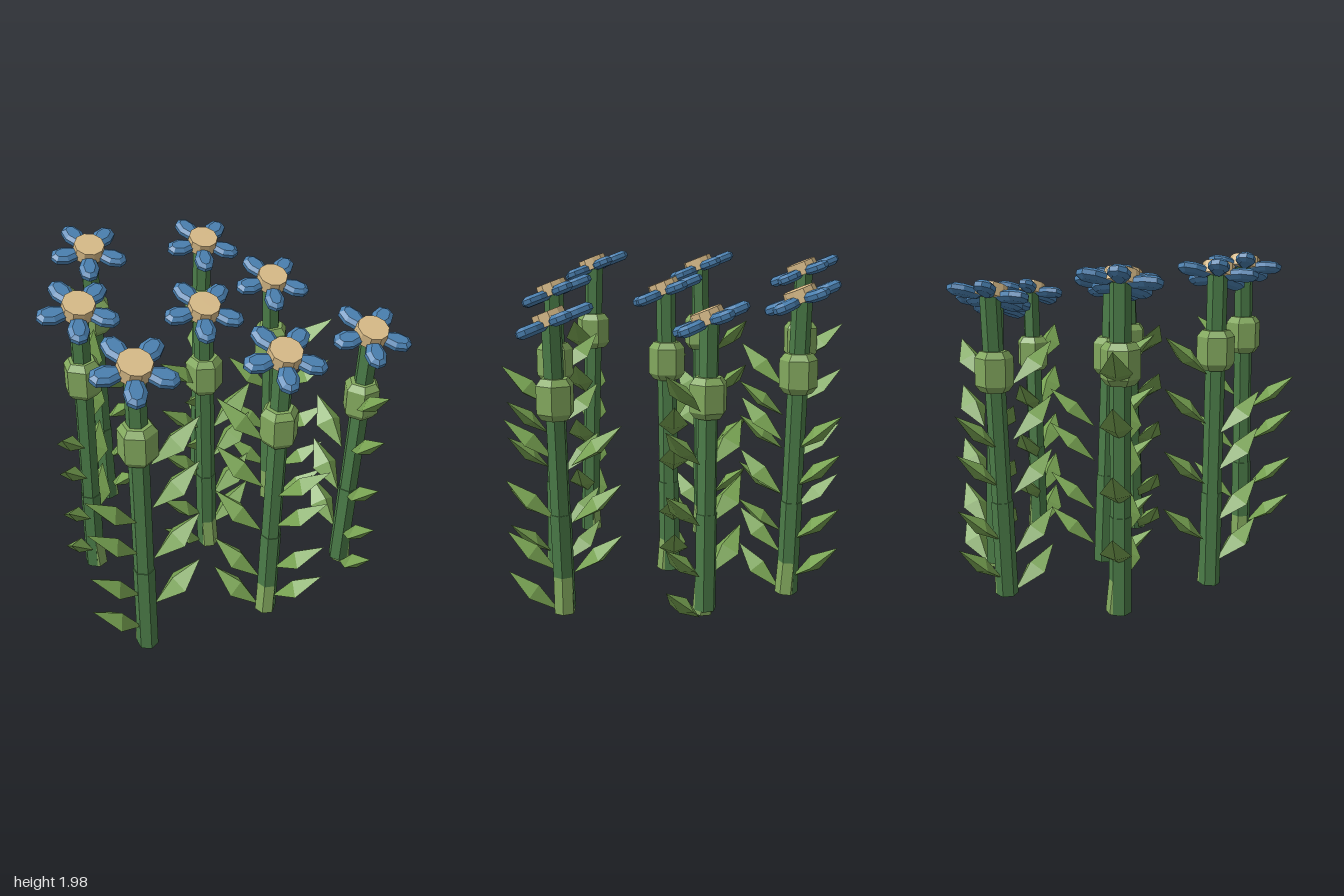
import * as THREE from 'three';

const mat = (color) => new THREE.MeshStandardMaterial({ color, flatShading: true });
const stemMat = mat(0x4b7c48), leafMat = mat(0x78a352), budMat = mat(0x83a95e);
const petalMat = mat(0x4a80b0), discMat = mat(0xd8bb88);

const V = (x, y, z) => new THREE.Vector3(x, y, z);

function addMesh(parent, name, geometry, material) {
  const mesh = new THREE.Mesh(geometry, material);
  mesh.name = name;
  parent.add(mesh);
  return mesh;
}

// Hexagonal rod between two points
function rod(parent, name, a, b, radius, yaw, material) {
  const dir = b.clone().sub(a);
  const geometry = new THREE.CylinderGeometry(radius, radius, dir.length(), 6);
  geometry.rotateY(yaw);
  const mesh = addMesh(parent, name, geometry, material);
  mesh.position.copy(a).add(b).multiplyScalar(0.5);
  mesh.quaternion.setFromUnitVectors(V(0, 1, 0), dir.normalize());
}

// Leaf: stretched octahedron with drooping sides, rising along +x, measured from its tip height
const leafGeo = new THREE.OctahedronGeometry(1).scale(0.185, 0.046, 0.088);
const leafPos = leafGeo.attributes.position;
for (let i = 0; i < leafPos.count; i++) {
  leafPos.setY(i, leafPos.getY(i) - 0.2 * Math.abs(leafPos.getZ(i)));
}
leafGeo.rotateZ(0.68).translate(0.187, -0.115, 0);

// Bulge on the stem: six-sided with chamfered top and bottom
const budGeo = new THREE.LatheGeometry(
  [[0, -0.115], [0.08, -0.115], [0.109, -0.078], [0.109, 0.078], [0.08, 0.115], [0, 0.115]]
    .map(([r, y]) => new THREE.Vector2(r, y)), 6);

// Petal: thick angular kite with a bevelled edge, lying along +x
const petalShape = new THREE.Shape(
  [[0.07, -0.012], [0.15, -0.036], [0.2, -0.024], [0.212, 0], [0.2, 0.024], [0.15, 0.036], [0.07, 0.012]]
    .map(([x, y]) => new THREE.Vector2(x, y)));
const petalGeo = new THREE.ExtrudeGeometry(petalShape, {
  depth: 0.026, bevelThickness: 0.018, bevelSize: 0.024, bevelSegments: 1,
}).translate(0, 0, -0.013).rotateX(-Math.PI / 2);

const discGeo = new THREE.CylinderGeometry(0.092, 0.1, 0.075, 10).translate(0, 0.024, 0);

// Flower head, tipped towards the front
function flowerHead() {
  const head = new THREE.Group();
  head.name = 'flowerHead';
  for (let i = 0; i < 5; i++) {
    addMesh(head, 'petal', petalGeo, petalMat).rotation.y = (0.2 + i * 0.4) * Math.PI;
  }
  addMesh(head, 'flowerCentre', discGeo, discMat);
  head.rotation.x = 0.38;
  return head;
}

// Heights per size: head, bulge, and leaf tips on both sides
const sizes = {
  tall: { head: 1.88, bud: 1.45, near: [1.55, 1.26, 0.9, 0.56], far: [1.19, 0.97, 0.66, 0.41] },
  middle: { head: 1.78, bud: 1.36, near: [1.5, 1.18, 0.86, 0.5, 0.27], far: [1.14, 0.92, 0.6, 0.37] },
  low: { head: 1.68, bud: 1.26, near: [1.43, 1.13, 0.78, 0.48, 0.24], far: [1.1, 0.77, 0.47] },
};

function flower(size, [bx, bz], [tx, tz], [cx, cz], [lx, lz], hand) {
  const s = sizes[size];
  const plant = new THREE.Group();
  plant.name = 'flower';
  const yaw = Math.atan2(-lz, lx);
  const base = V(bx, 0.035, bz), top = V(tx, s.head, tz);
  const at = (y) => base.clone().lerp(top, (y - base.y) / (top.y - base.y));

  // Stem in two pieces with a lighter sheath leaning out at the foot
  rod(plant, 'lowerStem', base, at(0.6), 0.063, yaw, stemMat);
  rod(plant, 'upperStem', at(0.55), top, 0.058, yaw, stemMat);
  const foot = base.clone().addScaledVector(V(-Math.sin(yaw), 0, -Math.cos(yaw)), 0.02 * hand);
  foot.y = size === 'low' ? 0.012 : 0.035;
  rod(plant, 'sheath', foot, at(0.24), 0.062, yaw, budMat);

  const bud = addMesh(plant, 'stemBulge', budGeo, budMat);
  bud.position.copy(at(s.bud));
  bud.rotation.y = yaw;

  // Leaves in two opposite upright rows
  [s.near, s.far].forEach((tips, k) => {
    for (const y of tips) {
      const leaf = addMesh(plant, 'leaf', leafGeo, leafMat);
      leaf.position.set(cx, y, cz);
      leaf.rotation.y = yaw + k * Math.PI;
    }
  });

  const head = flowerHead();
  head.position.copy(top);
  plant.add(head);
  return plant;
}

export function createModel() {
  const group = new THREE.Group();
  group.name = 'flowerPatch';
  // size, foot, head, leaf axis, direction of the first leaf row (all x, z), side of the sheath
  [
    ['tall', [-0.385, -0.69], [-0.4, -0.735], [-0.38, -0.67], [-0.165, -0.64], -1],
    ['middle', [0.325, -0.7], [0.37, -0.75], [0.32, -0.695], [-0.3, 0.59], 1],
    ['low', [0.66, -0.25], [0.615, -0.26], [0.69, -0.25], [0.565, 0.355], -1],
    ['tall', [-0.71, -0.07], [-0.71, -0.04], [-0.72, -0.11], [0.4, -0.52], -1],
    ['middle', [0.035, 0.05], [-0.01, 0.08], [0.04, 0.03], [-0.66, 0.12], 1],
    ['tall', [-0.675, 0.735], [-0.665, 0.67], [-0.665, 0.735], [1, 0], 1],
    ['middle', [0.1, 0.76], [0.155, 0.73], [0.095, 0.765], [-0.49, -0.45], 1],
    ['low', [0.75, 0.545], [0.805, 0.57], [0.74, 0.54], [0.06, 0.66], 1],
  ].forEach((spec) => group.add(flower(...spec)));
  return group;
}
